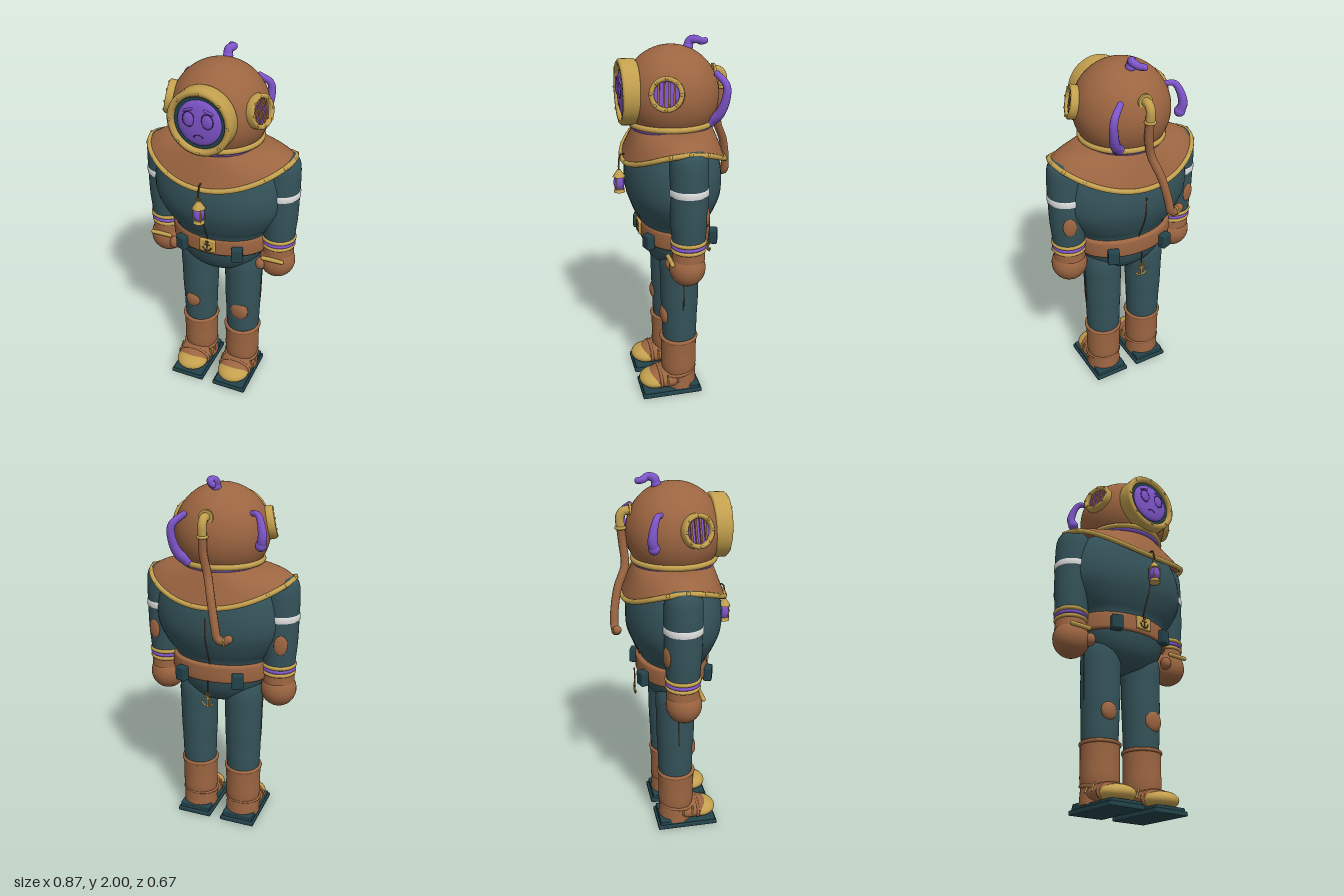
import * as THREE from 'three';
import { RoundedBoxGeometry } from 'three/addons/geometries/RoundedBoxGeometry.js';
import { ParametricGeometry } from 'three/addons/geometries/ParametricGeometry.js';

const mat = (name, color) => new THREE.MeshStandardMaterial({ name, color });
const M = {
  leather: mat('leather brown', 0x9c6541),
  suit: mat('suit teal', 0x34535a),
  sole: mat('sole teal', 0x23434b),
  brass: mat('brass', 0xc3a04e),
  slime: mat('purple', 0x7f55cb),
  shade: mat('dark purple', 0x432a74),
  band: mat('white band', 0xe2e2e2),
  seam: mat('dark brown', 0x5e402c),
};
M.leather.side = THREE.DoubleSide;

const V = (x, y, z) => new THREE.Vector3(x, y, z);

function add(parent, name, geo, material, x = 0, y = 0, z = 0) {
  const m = new THREE.Mesh(geo, material);
  m.name = name;
  m.position.set(x, y, z);
  parent.add(m);
  return m;
}
function group(parent, name, x = 0, y = 0, z = 0) {
  const g = new THREE.Group();
  g.name = name;
  g.position.set(x, y, z);
  parent.add(g);
  return g;
}
// lathe from [radius, height] pairs listed bottom to top
function lathe(pts, smooth = true) {
  let p = pts.map(([r, y]) => new THREE.Vector2(r, y));
  if (smooth) p = new THREE.SplineCurve(p).getPoints(40).map(q => q.setX(Math.max(0, q.x)));
  return new THREE.LatheGeometry(p, 48);
}
const ball = (rx, ry = rx, rz = rx) => new THREE.SphereGeometry(1, 28, 18).scale(rx, ry, rz);
const hoop = (r, t) => new THREE.TorusGeometry(r, t, 10, 48).rotateX(Math.PI / 2);
const tube = (pts, r, closed = false) =>
  new THREE.TubeGeometry(new THREE.CatmullRomCurve3(pts, closed), closed ? 96 : 32, r, 10, closed);

// tube whose radius runs from r0 to r1
function taperTube(pts, r0, r1) {
  const n = 28, curve = new THREE.CatmullRomCurve3(pts);
  const g = new THREE.TubeGeometry(curve, n, 1, 12, false), p = g.attributes.position;
  for (let i = 0; i < p.count; i++) {
    const t = Math.floor(i / 13) / n, c = curve.getPointAt(t);
    const v = V().fromBufferAttribute(p, i).sub(c).multiplyScalar(r0 + (r1 - r0) * t).add(c);
    p.setXYZ(i, v.x, v.y, v.z);
  }
  return g;
}
function tentacle(parent, pts, r0, r1) {
  const g = group(parent, 'tentacle'), e = pts[pts.length - 1];
  add(g, 'tentacleBody', taperTube(pts, r0, r1), M.slime);
  add(g, 'tentacleRoot', ball(r0 * 1.08), M.slime, pts[0].x, pts[0].y, pts[0].z);
  add(g, 'tentacleTip', ball(r1), M.slime, e.x, e.y, e.z);
}
function anchor(parent, material, x, y, z) {
  const g = group(parent, 'anchor', x, y, z);
  add(g, 'shank', new THREE.BoxGeometry(0.007, 0.05, 0.006), material);
  add(g, 'stock', new THREE.BoxGeometry(0.03, 0.006, 0.006), material, 0, 0.012);
  add(g, 'eye', new THREE.TorusGeometry(0.007, 0.003, 6, 14), material, 0, 0.03);
  add(g, 'flukes', new THREE.TorusGeometry(0.024, 0.004, 6, 16, Math.PI), material).rotation.z = Math.PI;
  return g;
}

// ring frame facing +z with rivets
function portholeFrame(g, rIn, rOut, z0, z1) {
  const b = (rOut - rIn) * 0.3;
  const geo = lathe([[rIn, z0], [rOut - b, z0], [rOut, z0 + b], [rOut, z1 - b], [rOut - b, z1], [rIn + b, z1], [rIn, z1 - b], [rIn, z0]], false);
  add(g, 'frame', geo.rotateX(Math.PI / 2), M.brass);
  for (let i = 0; i < 8; i++) {
    const a = i * Math.PI / 4, r = (rIn + rOut) / 2;
    add(g, 'rivet', ball(0.007, 0.007, 0.005), M.brass, Math.cos(a) * r, Math.sin(a) * r, z1);
  }
}

function helmet(root) {
  const g = group(root, 'helmet');
  add(g, 'dome', new THREE.SphereGeometry(0.25, 48, 32, 0, Math.PI * 2, 0, 2.14), M.leather, 0, 1.705, 0.02);
  add(g, 'neckRing', hoop(0.213, 0.016), M.brass, 0, 1.565, 0.02);
  add(g, 'neckSlime', hoop(0.203, 0.012), M.slime, 0, 1.546, 0.02);

  // front window and face
  const w = group(g, 'frontWindow', 0, 1.725, 0);
  portholeFrame(w, 0.132, 0.167, 0.2, 0.292);
  add(w, 'glass', new THREE.CircleGeometry(0.135, 40), M.sole, 0, 0, 0.2715);
  add(w, 'face', ball(0.114, 0.114, 0.022), M.slime, 0, 0, 0.272);
  for (const s of [-1, 1]) {
    add(w, 'eye', ball(0.029, 0.037, 0.01), M.slime, s * 0.048, 0.02, 0.29);
    add(w, 'eyeOutline', new THREE.TorusGeometry(0.03, 0.002, 6, 28).scale(1, 1.25, 1), M.shade, s * 0.048, 0.02, 0.292);
    const brow = add(w, 'brow', new THREE.CapsuleGeometry(0.006, 0.04, 4, 8), M.slime, s * 0.052, 0.066, 0.289);
    brow.rotation.z = Math.PI / 2 - s * 0.35;
  }
  add(w, 'mouth', new THREE.TorusGeometry(0.022, 0.004, 6, 16, Math.PI).scale(1, 0.6, 1), M.shade, 0, -0.068, 0.289);

  // barred side windows, tilted slightly up and forward
  for (const s of [-1, 1]) {
    const p = group(g, 'sideWindow', s * 0.232, 1.752, 0.092);
    p.rotation.set(-0.2, s * 1.26, 0, 'YXZ');
    portholeFrame(p, 0.062, 0.086, -0.022, 0.026);
    add(p, 'pane', new THREE.CircleGeometry(0.064, 28), M.slime, 0, 0, 0.004);
    for (const x of [-0.039, -0.013, 0.013, 0.039])
      add(p, 'bar', new THREE.BoxGeometry(0.01, 2 * Math.sqrt(0.0038 - x * x), 0.009), M.leather, x, 0, 0.008);
  }

  // air hose at the back
  add(g, 'hoseFlange', new THREE.CylinderGeometry(0.038, 0.038, 0.012, 24).rotateX(Math.PI / 2), M.brass, 0, 1.815, -0.206);
  add(g, 'hoseElbow', tube([V(0, 1.815, -0.19), V(0, 1.815, -0.235), V(0, 1.79, -0.255), V(0, 1.73, -0.255)], 0.023), M.brass);
  add(g, 'hoseCollar', hoop(0.022, 0.008), M.brass, 0, 1.73, -0.255);
  add(g, 'hose', tube([V(0, 1.74, -0.255), V(0, 1.64, -0.245), V(-0.02, 1.54, -0.24), V(-0.055, 1.43, -0.285),
    V(-0.085, 1.3, -0.31), V(-0.1, 1.24, -0.312), V(-0.13, 1.225, -0.308), V(-0.155, 1.24, -0.305)], 0.022), M.leather);
  add(g, 'hoseTip', ball(0.022), M.leather, -0.155, 1.24, -0.305);
  add(g, 'hoseTipRing', new THREE.TorusGeometry(0.021, 0.005, 8, 24).rotateY(Math.PI / 2), M.brass, -0.135, 1.228, -0.307);

  tentacle(g, [V(0, 1.94, -0.07), V(0, 1.97, -0.08), V(0.013, 1.977, -0.11), V(-0.003, 1.964, -0.14), V(-0.02, 1.964, -0.165)], 0.024, 0.016);
  tentacle(g, [V(0.12, 1.58, -0.16), V(0.155, 1.62, -0.195), V(0.178, 1.7, -0.222), V(0.175, 1.77, -0.225), V(0.125, 1.82, -0.19)], 0.029, 0.016);
  tentacle(g, [V(-0.255, 1.68, -0.125), V(-0.265, 1.72, -0.135), V(-0.255, 1.78, -0.125), V(-0.23, 1.825, -0.105), V(-0.19, 1.825, -0.08)], 0.027, 0.013);
}

// saddle-shaped shoulder mantle: a = angle, t = neck to rim
function mantlePoint(a, t, v = V()) {
  const c = Math.cos(a), f = c * c;
  const drop = f * 0.18 * Math.pow(t, 1.15) + (1 - f) * 0.06 * t ** 3;
  return v.set(Math.sin(a) * (0.19 + 0.205 * t), 1.55 - drop, c * (0.2 + 0.068 * t) + 0.012);
}
function mantle(root) {
  const g = group(root, 'mantle'), rim = [];
  add(g, 'mantleShell', new ParametricGeometry((u, t, v) => mantlePoint(u * Math.PI * 2, t, v), 64, 14), M.leather);
  for (let i = 0; i < 32; i++) rim.push(mantlePoint(i * Math.PI / 16, 1));
  add(g, 'mantleTrim', tube(rim, 0.0135, true), M.brass);
  for (let i = 0; i < 18; i++) {
    const p = mantlePoint((i + 0.5) * Math.PI / 9, 1.03);
    add(g, 'trimRivet', ball(0.011), M.brass, p.x, p.y + 0.01, p.z);
  }
}

function torso(root) {
  const g = group(root, 'torso');
  add(g, 'body', lathe([[0, 0.76], [0.12, 0.778], [0.205, 0.84], [0.25, 0.93], [0.26, 1.03], [0.31, 1.1], [0.362, 1.2],
    [0.367, 1.31], [0.335, 1.42], [0.27, 1.5], [0.15, 1.54]]).scale(1, 1, 0.69), M.suit, 0, 0, 0.015);
  const seam = (s, pts) => add(g, 'seam', tube(pts.map(([r, y]) => V(0, y, 0.015 + s * r * 0.69)), 0.003), M.seam);
  seam(1, [[0.266, 1.03], [0.311, 1.1], [0.363, 1.2]]);
  seam(-1, [[0.266, 1.03], [0.311, 1.1], [0.363, 1.2], [0.368, 1.31]]);

  add(g, 'belt', lathe([[0.24, 0.93], [0.27, 0.932], [0.278, 0.945], [0.278, 1.015], [0.27, 1.028], [0.24, 1.03]], false)
    .scale(1, 1, 0.7), M.leather, 0, 0, 0.005);
  add(g, 'buckle', new RoundedBoxGeometry(0.09, 0.075, 0.02, 2, 0.006), M.brass, 0, 0.988, 0.2);
  anchor(g, M.seam, 0, 0.985, 0.21);
  for (const sx of [-1, 1]) for (const sz of [-1, 1])
    add(g, 'pouch', new RoundedBoxGeometry(0.062, 0.08, 0.045, 2, 0.008), M.sole, sx * 0.16, 0.957, sz * 0.178)
      .rotation.y = sx * sz * 0.35;
  add(g, 'anchorChain', new THREE.CylinderGeometry(0.004, 0.004, 0.09, 8), M.seam, 0, 0.9, -0.2);
  anchor(g, M.brass, 0, 0.825, -0.2).scale.set(1.4, 1.3, 1.3);

  // hanging lantern
  const l = group(g, 'lantern', 0, 0, 0.302);
  add(l, 'lanternBase', new THREE.CylinderGeometry(0.024, 0.03, 0.018, 20), M.brass, 0, 1.202);
  add(l, 'lanternLight', lathe([[0.02, 1.21], [0.029, 1.235], [0.027, 1.265], [0.018, 1.28]]), M.slime);
  add(l, 'lanternCap', new THREE.CylinderGeometry(0.008, 0.034, 0.04, 20), M.brass, 0, 1.298);
  for (let i = 0; i < 4; i++) {
    const a = (i + 0.5) * Math.PI / 2;
    add(l, 'lanternPost', new THREE.CylinderGeometry(0.003, 0.003, 0.075, 6), M.brass, Math.cos(a) * 0.029, 1.245, Math.sin(a) * 0.029);
  }
  add(l, 'lanternRing', new THREE.TorusGeometry(0.012, 0.003, 6, 18), M.brass, 0, 1.328);
  add(l, 'lanternHook', tube([V(0, 1.335, 0), V(0, 1.365, -0.002), V(0, 1.395, -0.01), V(0, 1.4, -0.03), V(0, 1.375, -0.04)], 0.004), M.seam);
}

function arm(root, s) {
  const g = group(root, s > 0 ? 'leftArm' : 'rightArm', s * 0.332, 0, 0.004);
  add(g, 'sleeve', lathe([[0.08, 0.94], [0.083, 0.98], [0.09, 1.07], [0.096, 1.15], [0.098, 1.28], [0.098, 1.38],
    [0.094, 1.45], [0.077, 1.49], [0.045, 1.503], [0, 1.505]]), M.suit);
  add(g, 'armBand', lathe([[0.096, 1.272], [0.102, 1.276], [0.102, 1.306], [0.096, 1.31]], false), M.band);
  add(g, 'elbowPatch', ball(0.036, 0.055, 0.012), M.leather, s * 0.03, 1.155, -0.089).rotation.y = -s * 0.3;
  add(g, 'cuffTop', hoop(0.083, 0.012), M.brass, 0, 1.019);
  add(g, 'cuffSlime', hoop(0.082, 0.01), M.slime, 0, 0.997);
  add(g, 'cuffBottom', hoop(0.081, 0.011), M.brass, 0, 0.976);
  add(g, 'hand', ball(0.098, 0.1, 0.095), M.leather, 0, 0.87, 0.006);
  add(g, 'wrist', new THREE.CylinderGeometry(0.083, 0.086, 0.05, 36), M.leather, 0, 0.945);
  add(g, 'thumb', ball(0.028, 0.036, 0.032), M.leather, -s * 0.072, 0.865, 0.075);
  const strap = add(g, 'handStrap', new THREE.CapsuleGeometry(0.012, 0.105, 6, 12), M.brass, 0, 0.917, 0.096);
  strap.rotation.z = Math.PI / 2;
}

function leg(root, s) {
  const g = group(root, s > 0 ? 'leftLeg' : 'rightLeg', s * 0.135, 0, 0);
  add(g, 'trouser', lathe([[0.092, 0.32], [0.097, 0.4], [0.1, 0.5], [0.104, 0.58], [0.106, 0.7], [0.108, 0.82], [0.09, 0.9]]), M.suit, 0, 0, 0.004);
  add(g, 'trouserSeam', tube([V(s * 0.104, 0.56, 0.004), V(s * 0.107, 0.7, 0.004), V(s * 0.109, 0.82, 0.004)], 0.003), M.seam);
  add(g, 'kneePatch', ball(s > 0 ? 0.053 : 0.045, s > 0 ? 0.06 : 0.052, 0.025), M.leather, s * 0.01, 0.5, 0.092);
  add(g, 'bootShaft', lathe([[0.094, 0.12], [0.1, 0.17], [0.1, 0.26], [0.102, 0.34]]), M.leather, 0, 0, 0.008);
  add(g, 'bootRim', hoop(0.098, 0.011), M.leather, 0, 0.342, 0.008);
  add(g, 'bootAnkle', hoop(0.095, 0.01), M.leather, 0, 0.125, 0.012).rotation.x = 0.15;
  add(g, 'heel', new THREE.CylinderGeometry(0.093, 0.1, 0.1, 36), M.leather, 0, 0.085, 0.006);
  add(g, 'instep', ball(0.102, 0.056, 0.125), M.leather, 0, 0.086, 0.08);
  add(g, 'toeCap', ball(0.094, 0.047, 0.09), M.brass, 0, 0.076, 0.15);
  add(g, 'toeStrap', new THREE.TorusGeometry(0.096, 0.009, 8, 32).scale(1, 0.55, 1), M.leather, 0, 0.083, 0.125);
  for (const z of [0.035, 0.09]) for (const e of [-1, 1])
    add(g, 'bootStud', new THREE.CapsuleGeometry(0.005, 0.045, 4, 8), M.brass, e * 0.096, 0.11, z).rotation.z = e * 0.3;
  add(g, 'soleUpper', new RoundedBoxGeometry(0.185, 0.022, 0.325, 2, 0.006), M.sole, 0, 0.029, 0.065);
  add(g, 'solePlate', new RoundedBoxGeometry(0.205, 0.024, 0.345, 2, 0.006), M.sole, 0, 0.012, 0.063);
  add(g, 'heelPlate', new RoundedBoxGeometry(0.18, 0.03, 0.14, 2, 0.006), M.sole, 0, 0.04, -0.026);
}

export function createModel() {
  const root = new THREE.Group();
  root.name = 'diver';
  helmet(root);
  mantle(root);
  torso(root);
  for (const s of [-1, 1]) {
    arm(root, s);
    leg(root, s);
  }
  return root;
}
